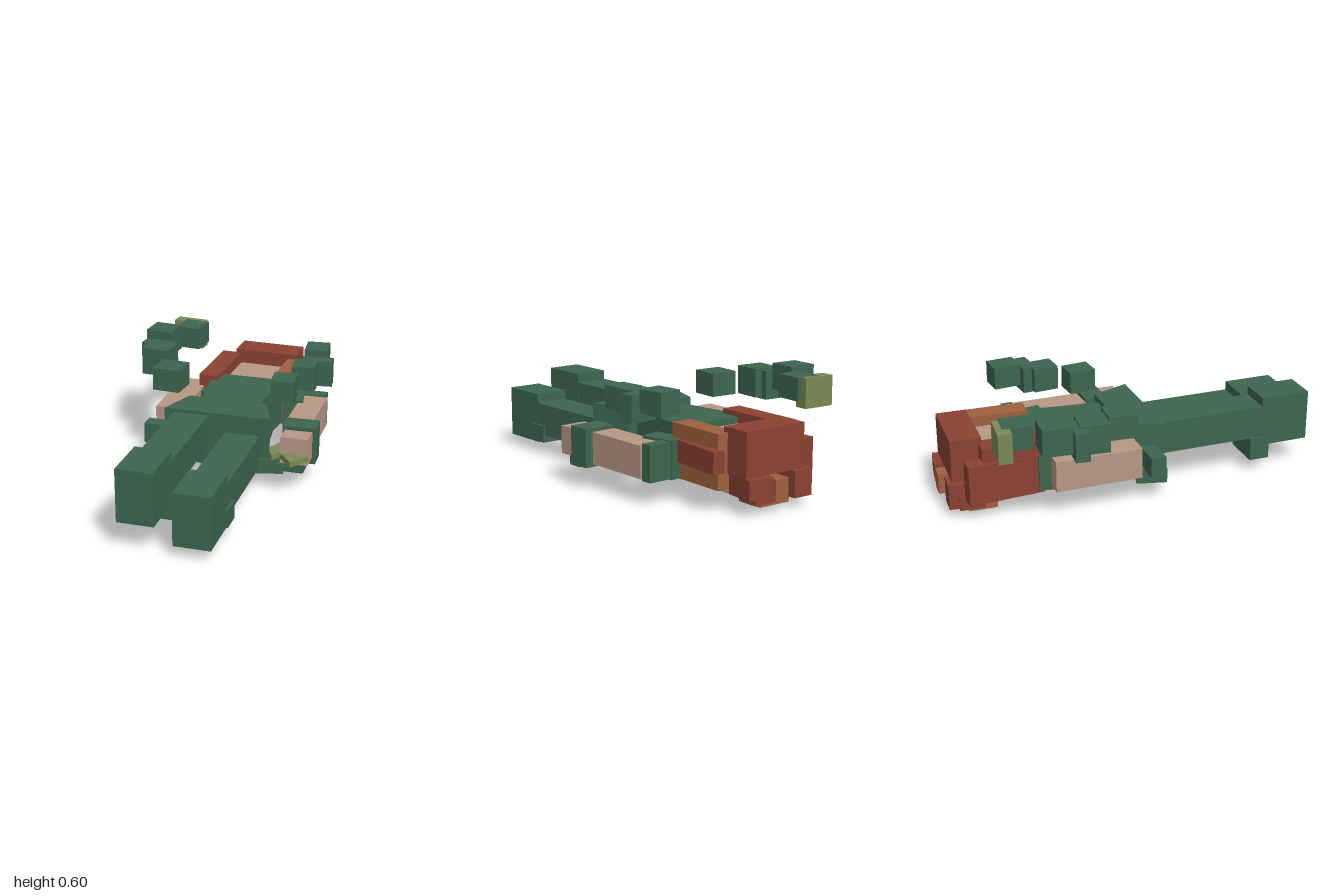
import * as THREE from 'three';

const mat = (name, color) => {
  const m = new THREE.MeshStandardMaterial({ color });
  m.name = name;
  return m;
};

export function createModel() {
  const green = mat('jadeGreen', 0x3d664f);
  const skin = mat('skin', 0xb79785);
  const red = mat('rustRed', 0x8a4232);
  const orange = mat('copperOrange', 0xa0603d);
  const olive = mat('olive', 0x7a8a54);
  const root = new THREE.Group();
  root.name = 'lyingFigure';

  const group = (name) => {
    const g = new THREE.Group();
    g.name = name;
    root.add(g);
    return g;
  };
  // box from its extents [min, max] on each axis, turned about its own centre
  const box = (parent, name, m, [x0, x1], [y0, y1], [z0, z1], ry = 0, rx = 0, rz = 0) => {
    const mesh = new THREE.Mesh(new THREE.BoxGeometry(x1 - x0, y1 - y0, z1 - z0), m);
    mesh.position.set((x0 + x1) / 2, (y0 + y1) / 2, (z0 + z1) / 2);
    mesh.rotation.set(rx, ry, rz);
    mesh.name = name;
    parent.add(mesh);
    return mesh;
  };
  // widen or narrow a box at each end of its length
  const taper = (mesh, back, front) => {
    const p = mesh.geometry.attributes.position;
    for (let i = 0; i < p.count; i++) p.setX(i, p.getX(i) * (p.getZ(i) < 0 ? back : front));
    mesh.geometry.computeVertexNormals();
    return mesh;
  };

  // legs: shaft, taller boot and knee pad, one leg raised above the other
  for (const [side, x, y] of [['right', -0.095, 0.28], ['left', 0.183, 0.197]]) {
    const leg = group(side + 'Leg');
    box(leg, 'shaft', green, [x - 0.093, x + 0.093], [y - 0.088, y + 0.088], [0.0, 0.74]);
    box(leg, 'boot', green, [x - 0.094, x + 0.094], [y - 0.137, y + 0.137], [0.73, 1]);
    box(leg, 'kneePad', green, [x - 0.108, x + 0.108], [0.07, side === 'right' ? 0.195 : 0.165], [0.66, 0.77]);
  }

  // torso and flared skirt
  const body = group('body');
  taper(box(body, 'torso', green, [-0.16, 0.25], [0.12, 0.36], [-0.5, -0.04]), 1, 0.73);
  taper(box(body, 'skirt', green, [-0.24, 0.33], [0.11, 0.385], [-0.065, 0.14]), 0.74, 1);
  box(body, 'waist', green, [-0.1, 0.2], [0.1, 0.35], [-0.11, 0.0]);
  box(body, 'buckle', green, [-0.02, 0.12], [0.055, 0.13], [-0.1, -0.02]);
  for (const s of [-1, 1]) {
    const c = 0.045;
    const span = (a, b) => (s > 0 ? [c + a, c + b] : [c - b, c - a]);
    box(body, 'chestPlate', green, span(0.01, 0.17), [0.07, 0.13], [-0.48, -0.16], s * 0.12);
    box(body, 'sashTail', green, span(0.13, 0.34), [0.085, 0.165], [0.0, 0.16], -s * -0.25);
    box(body, 'hipPlate', green, span(0.02, 0.19), [0.085, 0.15], [-0.06, 0.12], s * 0.2);
  }
  box(body, 'rightSashKnot', green, [-0.37, -0.18], [0.155, 0.265], [0.02, 0.1]);
  box(body, 'leftSashKnot', green, [0.28, 0.5], [0.09, 0.165], [0.03, 0.11]);

  // arms
  const rightArm = group('rightArm');
  box(rightArm, 'arm', skin, [-0.345, -0.19], [0.155, 0.32], [-0.48, -0.02]);
  box(rightArm, 'shoulder', green, [-0.27, -0.15], [0.13, 0.31], [-0.53, -0.34], -0.2);

  const leftArm = group('leftArm');
  box(leftArm, 'upperArm', skin, [0.36, 0.5], [0.13, 0.295], [-0.47, -0.08]);
  box(leftArm, 'shoulder', green, [0.265, 0.375], [0.115, 0.31], [-0.53, -0.34], 0.17);
  box(leftArm, 'shoulderCap', green, [0.36, 0.49], [0.12, 0.305], [-0.53, -0.47]);
  box(leftArm, 'cuff', green, [0.37, 0.545], [0.115, 0.315], [-0.085, 0.035], 0.04);
  box(leftArm, 'hand', skin, [0.385, 0.53], [0.15, 0.295], [0.03, 0.14]);

  // held blade: two flat diamonds
  const blade = group('blade');
  const diamond = (name, cx, cz, w, l) => {
    const h = new THREE.Shape([[0, -l], [w, 0], [0, l], [-w, 0]].map((p) => new THREE.Vector2(...p)));
    const mesh = new THREE.Mesh(new THREE.ExtrudeGeometry(h, { depth: 0.03, bevelEnabled: false }), olive);
    mesh.rotation.x = -Math.PI / 2;
    mesh.position.set(cx, 0.175, cz);
    mesh.name = name;
    blade.add(mesh);
  };
  diamond('bladeTip', 0.46, 0.14, 0.073, 0.1);
  diamond('bladeTail', 0.352, 0.095, 0.045, 0.09);

  // floating chains of blocks: centre x, y, z, then width, height, depth and turn
  const chain = (name, list) => {
    const g = group(name);
    for (const [x, y, z, w, h, d, ry] of list) {
      box(g, 'block', green, [x - w / 2, x + w / 2], [y - h / 2, y + h / 2], [z - d / 2, z + d / 2], ry);
    }
    return g;
  };
  const rightChain = chain('rightChain', [
    [-0.292, 0.462, -0.125, 0.15, 0.125, 0.15, -0.08],
    [-0.42, 0.485, -0.315, 0.15, 0.15, 0.15, -0.1],
    [-0.46, 0.475, -0.395, 0.165, 0.15, 0.075, -0.1],
    [-0.468, 0.525, -0.525, 0.15, 0.14, 0.15, -0.08],
    [-0.348, 0.515, -0.685, 0.14, 0.12, 0.15, -0.1],
  ]);
  box(rightChain, 'tip', olive, [-0.47, -0.295], [0.42, 0.575], [-0.795, -0.725], -0.08);
  chain('leftChain', [
    [0.335, 0.46, -0.13, 0.125, 0.12, 0.145, 0.09],
    [0.402, 0.475, -0.315, 0.125, 0.13, 0.135, 0.09],
    [0.455, 0.47, -0.4, 0.165, 0.14, 0.075, 0.1],
    [0.425, 0.51, -0.525, 0.125, 0.12, 0.145, 0.09],
  ]);

  // head, face down
  const t = -0.035;
  const head = group('head');
  box(head, 'skull', skin, [-0.09, 0.185], [0.065, 0.33], [-0.82, -0.51], t);
  box(head, 'nose', skin, [0.03, 0.07], [0.03, 0.07], [-0.66, -0.59], t);
  box(head, 'mouth', red, [0.0, 0.09], [0.058, 0.064], [-0.555, -0.535], t);
  for (const x of [-0.02, 0.12]) {
    box(head, 'eye', green, [x - 0.025, x + 0.025], [0.058, 0.064], [-0.72, -0.66], t);
  }

  // hair: back block, side locks and fringe
  const hair = group('hair');
  box(hair, 'crown', red, [-0.115, 0.25], [0.185, 0.41], [-0.95, -0.79], t);
  box(hair, 'rightLock', red, [-0.21, -0.1], [0.15, 0.385], [-0.815, -0.39], t);
  box(hair, 'rightOuterLock', red, [-0.225, -0.14], [0.1, 0.31], [-0.9, -0.5], 0.06);
  box(hair, 'leftLock', orange, [0.19, 0.3], [0.11, 0.383], [-0.81, -0.465], t);
  box(hair, 'leftOuterLock', red, [0.275, 0.34], [0.2, 0.31], [-0.84, -0.53], -0.13);
  box(hair, 'rightTopTuft', red, [-0.15, -0.04], [0.05, 0.185], [-0.98, -0.81], -0.06);
  box(hair, 'middleTopTuft', orange, [0.025, 0.105], [0.06, 0.17], [-0.995, -0.84], t);
  box(hair, 'leftTopTuft', red, [0.11, 0.25], [0.085, 0.185], [-0.985, -0.82], -0.14);
  box(hair, 'fringe', orange, [-0.105, 0.08], [0.0, 0.075], [-0.87, -0.72], t);
  box(hair, 'leftFringe', red, [0.08, 0.19], [0.045, 0.12], [-0.95, -0.83], t);
  box(hair, 'rightFringe', red, [-0.16, -0.09], [0.04, 0.12], [-0.93, -0.8], t);
  return root;
}
